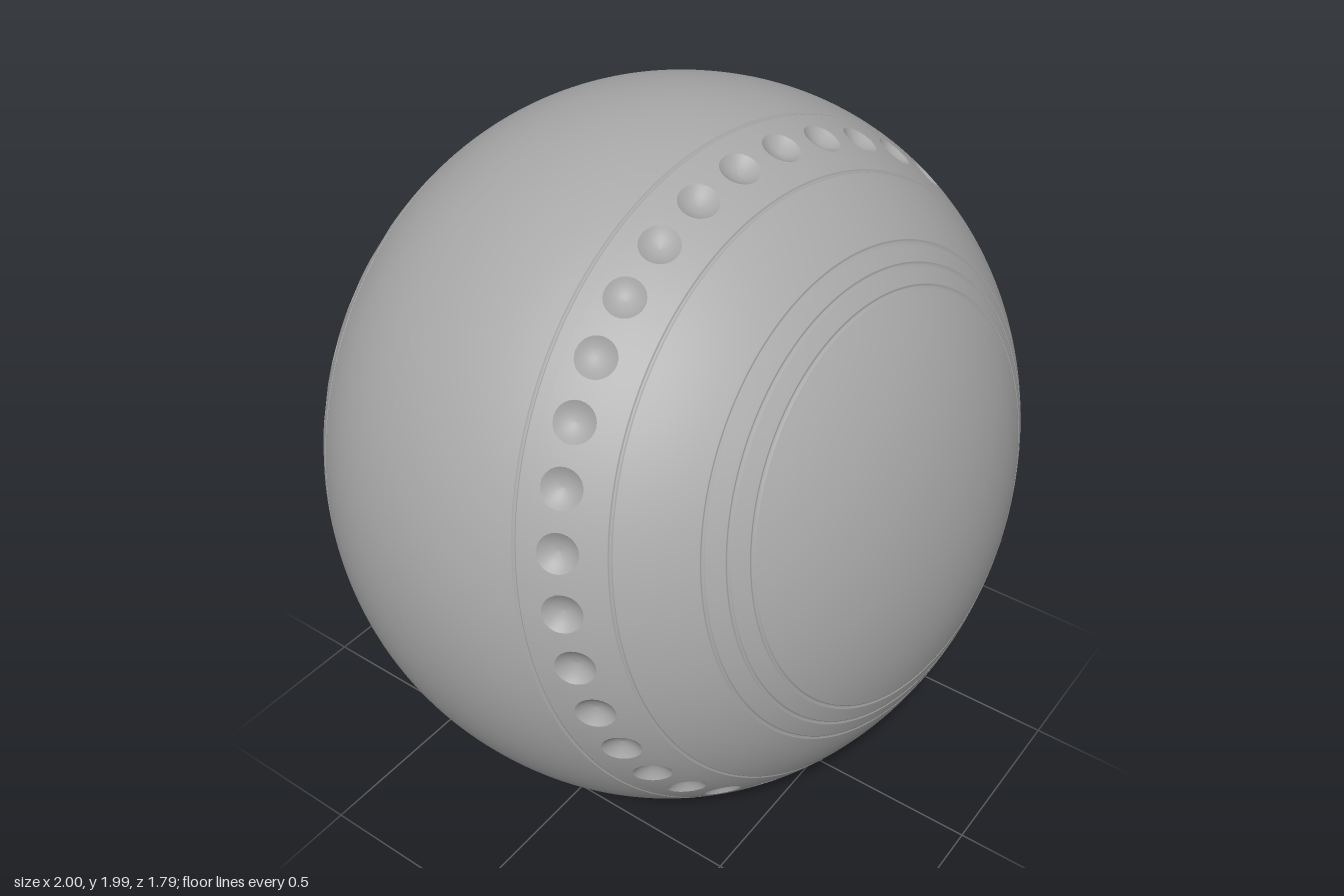
import * as THREE from 'three';
import { mergeGeometries, mergeVertices } from 'three/addons/utils/BufferGeometryUtils.js';

const P = 2.1, R = 0.999, A = 0.878;         // rounded-off spheroid: exponent, radius, half width
const COUNT = 36, SIDE = 8;                  // dimples per ring, edge segments per dimple cell
const DIMPLE_R = 0.05, DIMPLE_DEPTH = 0.022;
const STEP = 2 * Math.PI / COUNT;

// Meridian: angle t runs from the equator (0) to the pole (PI / 2)
const meridian = t => new THREE.Vector2(
  R * Math.max(0, Math.cos(t)) ** (2 / P),
  A * Math.max(0, Math.sin(t)) ** (2 / P));
const angleAt = r => Math.acos((r / R) ** (P / 2));
const meridianNormal = p => new THREE.Vector2(
  p.x ** (P - 1) / R ** P, p.y ** (P - 1) / A ** P).normalize();

const RING_R = 0.863, RING_T = angleAt(RING_R);
const SPEED = meridian(RING_T + 0.01).distanceTo(meridian(RING_T - 0.01)) / 0.02;
const CELL_T = 0.068 / SPEED;                // half height of the dimple band
const GROOVES = [0.915, 0.79, 0.635, 0.585, 0.535].map(angleAt);

// Turned surface between two angles, with fine V grooves cut in
function turned(t0, t1) {
  const rows = [];
  const n = Math.ceil((t1 - t0) / 0.03);
  for (let i = 0; i <= n; i++) {
    const t = t0 + (t1 - t0) * i / n;
    if (i === 0 || i === n || GROOVES.every(g => Math.abs(g - t) > 0.009)) rows.push([t, 0]);
  }
  for (const g of GROOVES) {
    if (g <= t0 || g >= t1) continue;
    for (const [d, depth] of [[-0.007, 0], [-0.005, 0], [0, 0.006], [0.005, 0], [0.007, 0]]) {
      rows.push([g + d, depth]);
    }
  }
  rows.sort((a, b) => a[0] - b[0]);
  const points = rows.map(([t, depth]) => {
    const p = meridian(t);
    return p.addScaledVector(meridianNormal(p), -depth);
  });
  return new THREE.LatheGeometry(points, COUNT * SIDE);
}

// Point on the ring band: u along the ring, v along the meridian, sunk by depth
function bandPoint(phi0, u, v, depth) {
  const p = meridian(RING_T + v / SPEED), n = meridianNormal(p), phi = phi0 + u / RING_R;
  p.addScaledVector(n, -depth);
  const s = Math.sin(phi), c = Math.cos(phi);
  return { pos: [p.x * s, p.y, p.x * c], nor: [n.x * s, n.y, n.x * c] };
}

// Perimeter of the square cell, counter-clockwise in (u, v)
const perimeter = [];
for (let side = 0; side < 4; side++) {
  for (let i = 0; i < SIDE; i++) {
    const k = -1 + 2 * i / SIDE;
    const [x, y] = [[k, -1], [1, k], [-k, 1], [-1, -k]][side];
    perimeter.push({
      x: x * STEP / 2 * RING_R, y: y * CELL_T * SPEED,
      cx: x / Math.hypot(x, y), cy: y / Math.hypot(x, y),
    });
  }
}

// Joins closed loops of band points, from the outside in
function loops(rings) {
  const pos = [], nor = [], index = [], n = perimeter.length;
  for (const ring of rings) for (const q of ring) { pos.push(...q.pos); nor.push(...q.nor); }
  for (let k = 0; k < rings.length - 1; k++) {
    for (let i = 0; i < n; i++) {
      const a = k * n + i, b = k * n + (i + 1) % n;
      index.push(a, b, b + n, a, b + n, a + n);
    }
  }
  const g = new THREE.BufferGeometry();
  g.setAttribute('position', new THREE.Float32BufferAttribute(pos, 3));
  g.setAttribute('normal', new THREE.Float32BufferAttribute(nor, 3));
  g.setIndex(index);
  return g;
}

// Flush surface round one dimple
function cellGeometry(phi0) {
  return loops([0, 0.5, 1].map(f => perimeter.map(q => bandPoint(phi0,
    THREE.MathUtils.lerp(q.x, q.cx * DIMPLE_R, f),
    THREE.MathUtils.lerp(q.y, q.cy * DIMPLE_R, f), 0))));
}

// Hollow bowl of one dimple
function dimpleGeometry(phi0) {
  const g = loops([1, 0.9, 0.75, 0.55, 0.3, 0.001].map(f => perimeter.map(q => bandPoint(phi0,
    q.cx * DIMPLE_R * f, q.cy * DIMPLE_R * f, DIMPLE_DEPTH * (1 - f * f)))));
  g.deleteAttribute('normal');
  const smooth = mergeVertices(g, 1e-5);
  smooth.computeVertexNormals();
  return smooth;
}

export function createModel() {
  const grey = new THREE.MeshStandardMaterial({ color: 0xa8a8a8 });
  grey.name = 'grey';

  const half = new THREE.Group();
  const add = (name, geometry) => {
    const mesh = new THREE.Mesh(geometry, grey);
    mesh.name = name;
    half.add(mesh);
  };
  const phis = Array.from({ length: COUNT }, (_, i) => (i + 0.5) * STEP);
  add('runningSurface', turned(0, RING_T - CELL_T));
  add('sideFace', turned(RING_T + CELL_T, Math.PI / 2));
  add('gripBand', mergeGeometries(phis.map(cellGeometry)));
  add('gripDimples', mergeGeometries(phis.map(dimpleGeometry)));
  half.name = 'frontHalf';

  // Other half is the same, turned about the local z axis
  const other = half.clone();
  other.name = 'backHalf';
  other.rotation.z = Math.PI;

  // Tilt the turning axis; local z points down along the side face
  const ball = new THREE.Group();
  ball.name = 'ball';
  ball.add(half, other);
  const axis = new THREE.Vector3(-0.121, 0.227, 0.966).normalize();
  const down = new THREE.Vector3(0, -1, 0).projectOnPlane(axis).normalize();
  const across = new THREE.Vector3().crossVectors(axis, down);
  ball.quaternion.setFromRotationMatrix(new THREE.Matrix4().makeBasis(across, axis, down));
  ball.position.y = 1;

  const model = new THREE.Group();
  model.name = 'lawnBowl';
  model.add(ball);
  return model;
}
